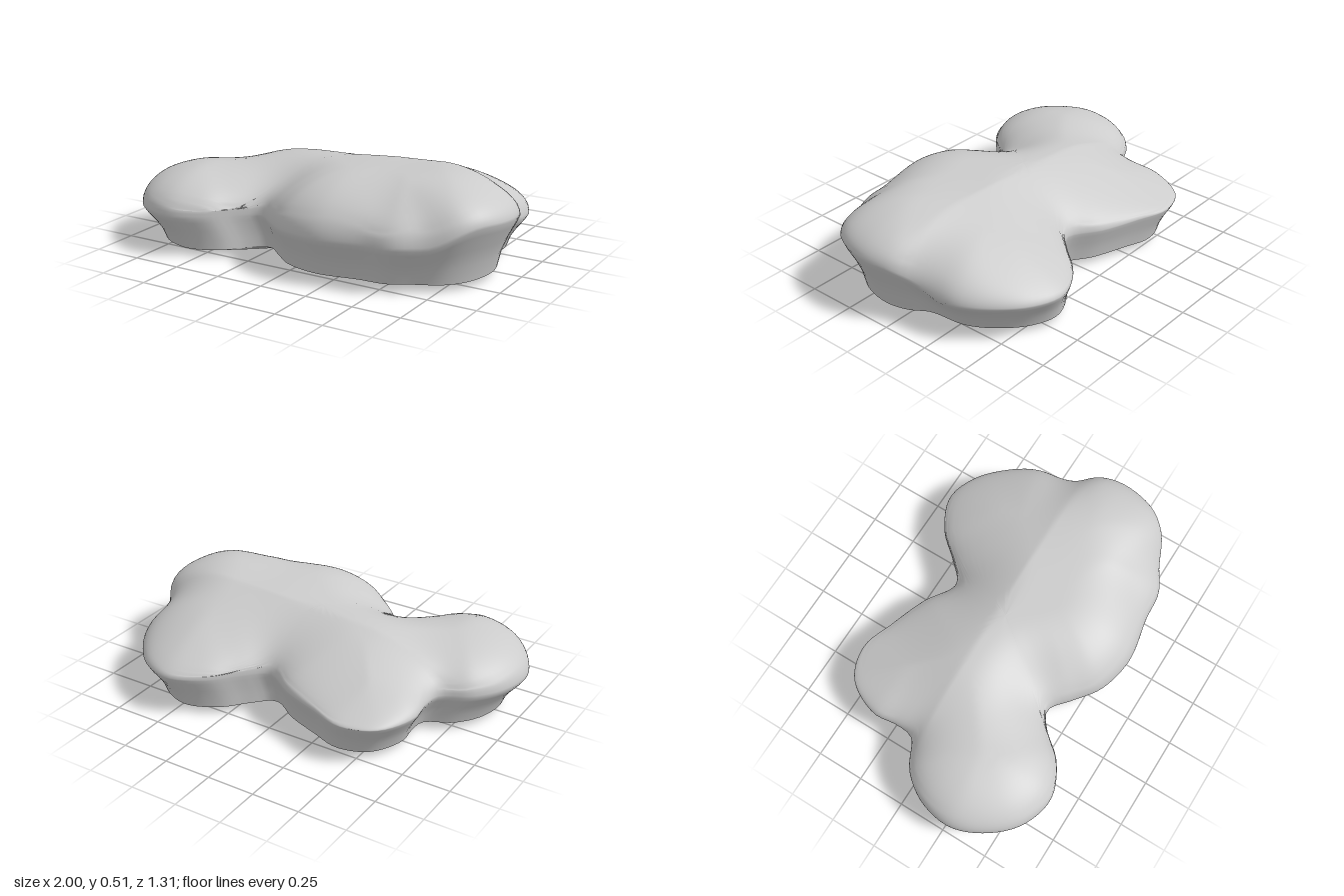
import * as THREE from 'three';

const SEGMENTS = 160;

// Plan outline of the lobed body as [x, z], running from +x towards +z
const OUTLINE = [
  [1, 0.12], [0.96, 0.3], [0.87, 0.42], [0.72, 0.5], [0.6, 0.565], [0.45, 0.58], [0.2, 0.62],
  [0, 0.575], [-0.13, 0.48], [-0.24, 0.4], [-0.34, 0.46], [-0.45, 0.58], [-0.62, 0.65],
  [-0.8, 0.6], [-0.93, 0.47], [-1, 0.3], [-0.97, 0.12], [-0.87, -0.02], [-0.72, -0.11],
  [-0.705, -0.2], [-0.715, -0.34], [-0.62, -0.52], [-0.45, -0.58], [-0.27, -0.525],
  [-0.08, -0.455], [0.09, -0.36], [0.2, -0.45], [0.32, -0.58], [0.5, -0.66], [0.66, -0.61],
  [0.8, -0.48], [0.88, -0.34], [0.91, -0.12], [0.97, -0.02],
];

const smooth = THREE.MathUtils.smoothstep;
const bump = (x, z, cx, cz, r) => Math.exp(-((x - cx) ** 2 + (z - cz) ** 2) / (r * r));

// Height of the widest line, lifted on the overhanging +x lobe
const edgeHeight = (x, z) =>
  0.205 + 0.02 * smooth(z, 0, 0.5) * smooth(x, -0.3, 0.2)
  + 0.11 * smooth(x, 0.72, 0.97) * smooth(z, -0.25, 0.05);

// Height of the crown: low at -x, sloping to the back, with soft lobes
function crownHeight(x, z) {
  return 0.405 + 0.08 * smooth(x, -0.6, 0.3)
    - 0.3 * Math.max(0, -z - 0.05)
    + 0.025 * bump(x, z, 0.68, 0.12, 0.25)
    + 0.02 * bump(x, z, -0.28, -0.02, 0.22)
    - 0.03 * bump(x, z, -0.2, 0.3, 0.16)
    - 0.03 * bump(x, z, 0.55, 0.5, 0.13);
}

// Joins closed rings of [x, y, z] points into a smooth skin
function skin(rings, name) {
  const n = rings[0].length;
  const index = [];
  for (let i = 0; i < rings.length - 1; i++) {
    for (let j = 0; j < n; j++) {
      const k = (j + 1) % n;
      const a = i * n + j, b = i * n + k, c = a + n, d = b + n;
      index.push(a, c, b, b, c, d);
    }
  }
  const geometry = new THREE.BufferGeometry();
  geometry.setAttribute('position', new THREE.Float32BufferAttribute(rings.flat(2), 3));
  geometry.setIndex(index);
  geometry.computeVertexNormals();
  const mesh = new THREE.Mesh(geometry, new THREE.MeshStandardMaterial({ color: 0xcccccc, roughness: 0.9 }));
  mesh.name = name;
  return mesh;
}

export function createModel() {
  const curve = new THREE.CatmullRomCurve3(
    OUTLINE.map(([x, z]) => new THREE.Vector3(x, 0, z)), true);
  const rim = curve.getSpacedPoints(SEGMENTS).slice(0, SEGMENTS);
  const fine = curve.getSpacedPoints(SEGMENTS * 2);
  const ring = (scale, height) => rim.map((p) => {
    const x = p.x * scale, z = p.z * scale;
    return [x, height(x, z, p), z];
  });

  // Rounded crown: rises steeply at the rim, levelling out inwards
  const domeHeight = (x, z, p) => {
    let d = Infinity;
    for (const q of fine) d = Math.min(d, Math.hypot(q.x - x, q.z - z));
    const s = Math.sqrt(1 - (1 - Math.min(d / 0.4, 1)) ** 2);
    const edge = edgeHeight(p.x, p.z);
    return edge + (crownHeight(x, z) - edge) * s;
  };

  // Foot and undercut sides, from the ground up to the widest line
  const FOOT = 0.89;
  const rings = [[FOOT, 0], [0.91, 0.3], [0.945, 0.6], [0.985, 0.87]].map(([scale, f]) =>
    ring(scale, (x, z, p) => THREE.MathUtils.lerp(0.035, edgeHeight(p.x, p.z), f)));
  rings.push(ring(1, (x, z, p) => edgeHeight(p.x, p.z)));
  const STEPS = 32;
  for (let i = 1; i <= STEPS; i++) {
    rings.push(ring(Math.cos((i / STEPS) * Math.PI / 2), domeHeight));
  }

  // Slightly bulging underside, from the centre out to the foot
  const under = [0, 0.25, 0.5, 0.75, 1].map((t) => ring(FOOT * t, () => 0.035 * t * t));

  const group = new THREE.Group();
  group.name = 'lobedBoulder';
  group.add(skin(rings, 'body'), skin(under, 'underside'));
  return group;
}
